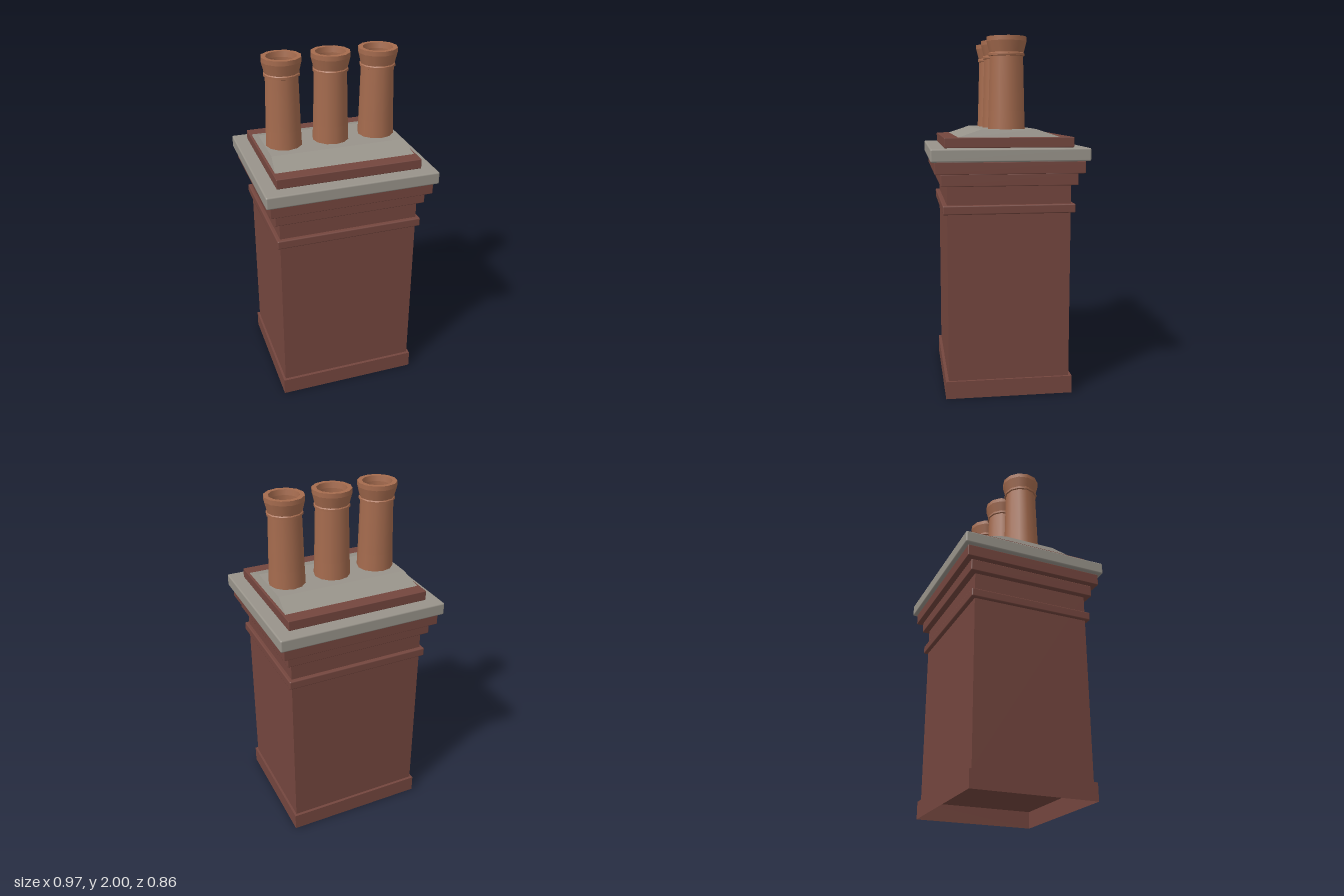
import * as THREE from 'three';
import { RoundedBoxGeometry } from 'three/addons/geometries/RoundedBoxGeometry.js';

export function createModel() {
  const model = new THREE.Group();
  model.name = 'chimney';

  const material = (name, color) => {
    const m = new THREE.MeshStandardMaterial({ color });
    m.name = name;
    return m;
  };
  const brick = material('brick', 0x74463e);
  const stone = material('stone', 0x98938a);
  const clay = material('terracotta', 0xa56b4e);
  brick.side = THREE.DoubleSide;

  const add = (name, geometry, mat) => {
    const mesh = new THREE.Mesh(geometry, mat);
    mesh.name = name;
    model.add(mesh);
    return mesh;
  };

  // A course of masonry between two heights; x and z are half-widths
  const course = (name, x, z, y0, y1, mat, bevel = 0) => {
    const geometry = bevel
      ? new RoundedBoxGeometry(2 * x, y1 - y0, 2 * z, 2, bevel)
      : new THREE.BoxGeometry(2 * x, y1 - y0, 2 * z);
    geometry.translate(0, (y0 + y1) / 2, 0);
    return add(name, geometry, mat);
  };

  // Plinth, open underneath: drop the bottom face of the box
  const plinth = course('plinth', 0.413, 0.359, 0, 0.1, brick).geometry;
  const index = Array.from(plinth.index.array);
  index.splice(18, 6);
  plinth.setIndex(index);
  plinth.clearGroups();

  // Brick stack, stepping out towards the coping
  course('shaft', 0.4, 0.342, 0.1, 1.2, brick);
  course('stringCourse', 0.42, 0.366, 1.044, 1.094, brick, 0.007);
  course('lowerCorbel', 0.432, 0.377, 1.198, 1.266, brick, 0.005);
  course('upperCorbel', 0.463, 0.409, 1.266, 1.333, brick, 0.004);
  course('coping', 0.487, 0.432, 1.333, 1.404, stone, 0.009);
  course('topCourse', 0.41, 0.355, 1.404, 1.46, brick, 0.004);

  // Sloped mortar bed, a box tapered towards its top
  const mortar = new THREE.BoxGeometry(0.8, 0.05, 0.604);
  const p = mortar.attributes.position;
  for (let i = 0; i < p.count; i++) {
    if (p.getY(i) > 0) {
      p.setX(i, Math.sign(p.getX(i)) * 0.383);
      p.setZ(i, Math.sign(p.getZ(i)) * 0.152);
    }
  }
  mortar.computeVertexNormals();
  mortar.translate(0, 1.477, 0);
  add('mortarBed', mortar, stone);

  // Chimney pots: tapered wall, collar, flared lip and hollow mouth
  const profile = [
    [0.104, 1.495], [0.1, 1.6], [0.092, 1.895], [0.1, 1.898], [0.1, 1.91],
    [0.095, 1.915], [0.11, 1.975], [0.11, 2], [0.084, 2], [0.079, 1.97],
    [0.079, 1.82], [0, 1.82],
  ];
  // Doubled points keep the collar, lip and floor edges crisp
  const points = profile.flatMap(([r, y], i) => {
    const v = new THREE.Vector2(r, y);
    return i > 1 && i < 11 ? [v, v.clone()] : [v];
  });
  const segments = [];
  for (let i = 0; i + 1 < points.length; i++) {
    if (points[i].distanceTo(points[i + 1]) > 0) segments.push([points[i], points[i + 1]]);
  }
  [-0.273, 0, 0.273].forEach((x, n) => {
    const pot = new THREE.Group();
    pot.name = `chimneyPot${n + 1}`;
    pot.position.x = x;
    for (const segment of segments) {
      const ring = new THREE.Mesh(new THREE.LatheGeometry(segment, 12), clay);
      ring.name = 'potSection';
      pot.add(ring);
    }
    model.add(pot);
  });

  return model;
}
